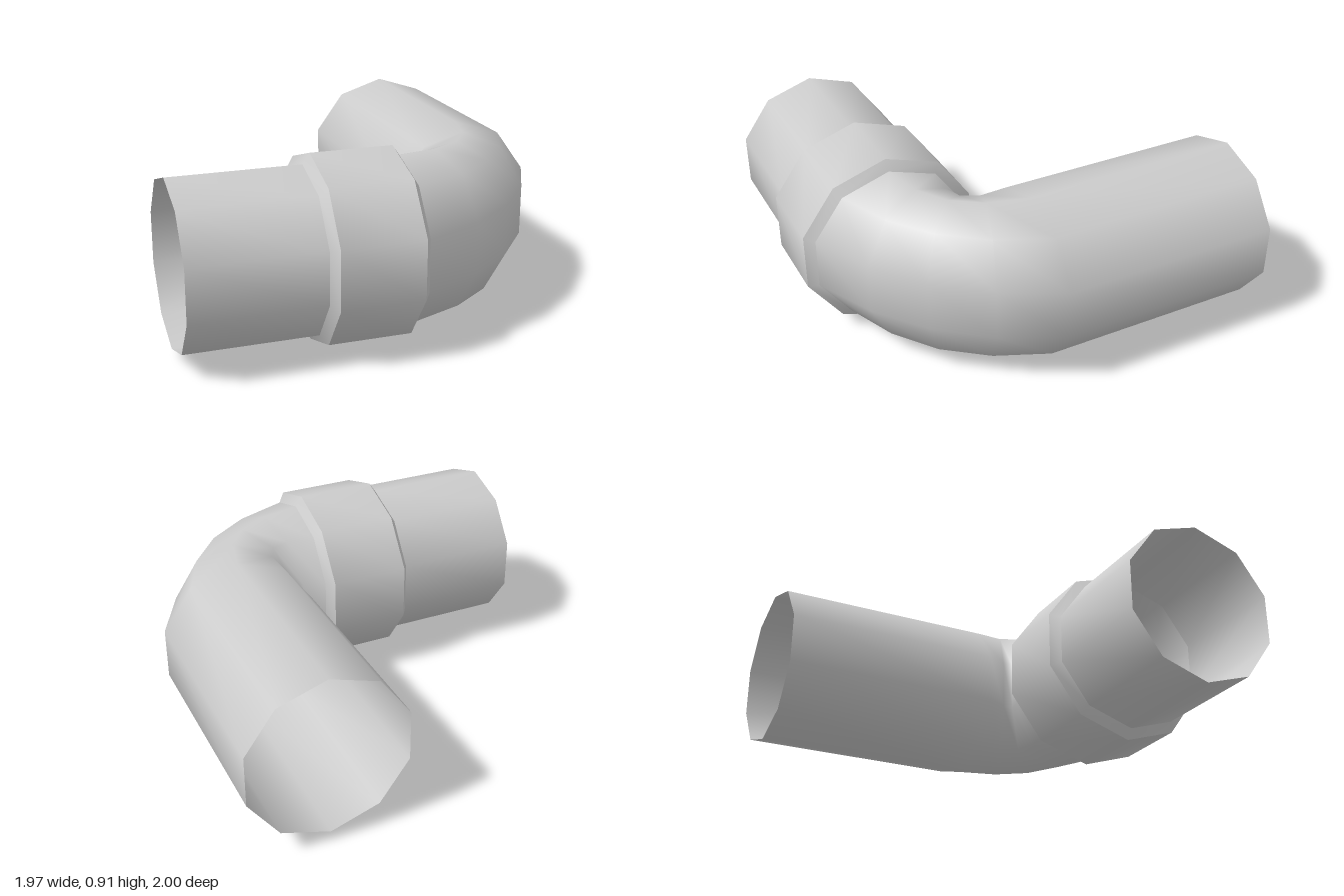
import * as THREE from 'three';

const SIDES = 10;
const AXIS_Y = 0.453;
const PIPE = 0.403;
const COLLAR = 0.453;

// Skin through ten-sided rings; each ring is { x, z, r, t },
// where t turns its outward direction from +z (0) to +x (1)
function loft(name, rings, material) {
  const positions = [];
  const index = [];
  rings.forEach(({ x, z, r, t = 0 }, i) => {
    for (let j = 0; j < SIDES; j++) {
      const a = ((j + 0.5) / SIDES) * Math.PI * 2;
      const out = r * Math.cos(a);
      positions.push(x + out * t, AXIS_Y + r * Math.sin(a), z + out * (1 - t));
      if (i === rings.length - 1) continue;
      const k = (j + 1) % SIDES;
      const p = i * SIDES + j, q = p + SIDES;
      const p2 = i * SIDES + k, q2 = p2 + SIDES;
      index.push(p, q, p2, q, q2, p2);
    }
  });
  const geometry = new THREE.BufferGeometry();
  geometry.setAttribute('position', new THREE.Float32BufferAttribute(positions, 3));
  geometry.setIndex(index);
  geometry.computeVertexNormals();
  const mesh = new THREE.Mesh(geometry, material);
  mesh.name = name;
  return mesh;
}

export function createModel() {
  const group = new THREE.Group();
  group.name = 'pipeElbow';
  const material = new THREE.MeshStandardMaterial({ color: 0xcccccc, side: THREE.DoubleSide });
  const straight = (x, r) => ({ x, z: 0.568, r });

  // Short arm, then the collar with a bevel on each side
  const sections = [
    ['shortPipe', -0.985, PIPE, -0.362, PIPE],
    ['outerBevel', -0.362, PIPE, -0.328, COLLAR],
    ['collar', -0.328, COLLAR, 0.068, COLLAR],
    ['innerBevel', 0.068, COLLAR, 0.102, PIPE],
  ];
  for (const [name, x0, r0, x1, r1] of sections) {
    group.add(loft(name, [straight(x0, r0), straight(x1, r1)], material));
  }

  // Bend, flattened towards its middle, running into the long arm
  const centres = [[0.102, 0.568], [0.302, 0.522], [0.45, 0.43], [0.55, 0.285], [0.602, 0.09]];
  const bend = centres.map(([x, z], i) => ({ x, z, r: PIPE, t: i / 4 }));
  bend.push({ x: 0.602, z: -1, r: PIPE, t: 1 });
  group.add(loft('elbowAndLongPipe', bend, material));

  return group;
}
